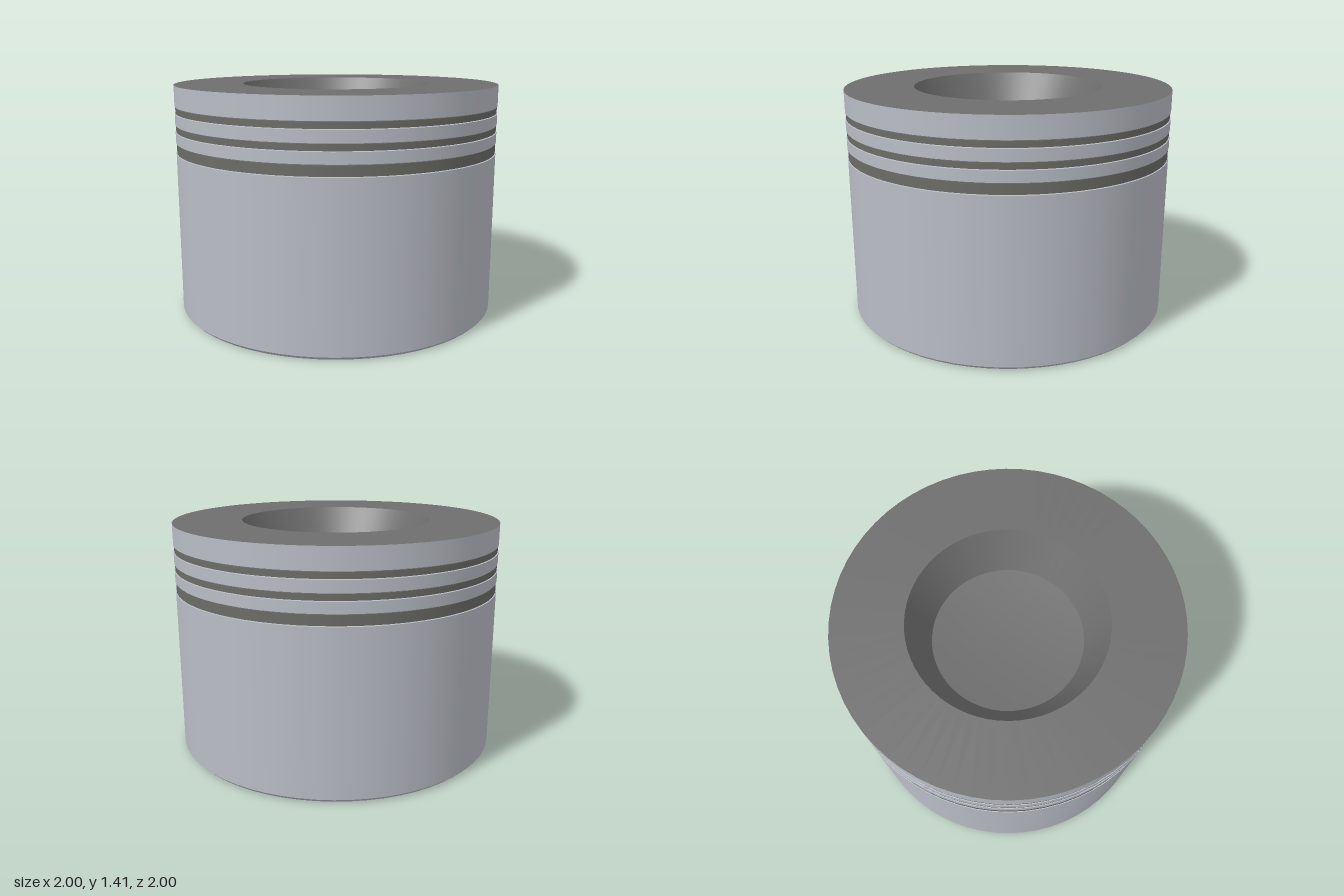
import * as THREE from 'three';

const SEGMENTS = 64;

export function createModel() {
  const piston = new THREE.Group();
  piston.name = 'piston';

  const material = (name, color) => {
    const m = new THREE.MeshStandardMaterial({ color });
    m.name = name;
    return m;
  };
  const alloy = material('brushed alloy', 0xb9bdc5);
  const dark = material('dark crown metal', 0x6e6e6e);
  const ringIron = material('ring iron', 0x6b6b67);
  const pinSteel = material('dark pin steel', 0x5c5c5c);

  const add = (name, geometry, mat, parent = piston) => {
    const mesh = new THREE.Mesh(geometry, mat);
    mesh.name = name;
    parent.add(mesh);
    return mesh;
  };
  const lathe = (points) =>
    new THREE.LatheGeometry(points.map(([r, y]) => new THREE.Vector2(r, y)), SEGMENTS);

  // Turned surface: each straight run of the profile keeps its own sharp edges
  const turned = (name, mat, profile) => {
    const part = new THREE.Group();
    part.name = name;
    for (let i = 0; i < profile.length - 1; i++) {
      add(`${name} face ${i + 1}`, lathe([profile[i], profile[i + 1]]), mat, part);
    }
    piston.add(part);
  };

  const top = 1.415, grooveRadius = 0.93, ringRadius = 0.996, bore = 0.815, ceiling = 1.0;
  // Groove bottoms and tops, lowest first
  const grooves = [[1.0, 1.068], [1.132, 1.176], [1.244, 1.288]];
  const clearance = 0.004;

  // Hollow skirt: inner ceiling, bore, bottom rim, chamfer and outer wall
  turned('skirt', alloy, [
    [0, ceiling], [bore, ceiling], [bore, 0], [0.98, 0], [1, 0.02], [1, grooves[0][0]],
  ]);

  // Grooves with the lands above them, each groove filled by a piston ring
  grooves.forEach(([low, high], i) => {
    const landTop = i < grooves.length - 1 ? grooves[i + 1][0] : top;
    turned(`grooveAndLand${i + 1}`, alloy, [
      [1, low], [grooveRadius, low], [grooveRadius, high], [1, high], [1, landTop],
    ]);
    const a = low + clearance, b = high - clearance;
    turned(`pistonRing${i + 1}`, ringIron, [
      [grooveRadius, a], [ringRadius, a], [ringRadius, b], [grooveRadius, b],
    ]);
  });

  // Crown with its tapered combustion bowl and gently dished floor
  const bowlRadius = 0.45, bowlFloor = 1.155, dish = 0.03;
  turned('crown', dark, [[1, top], [0.58, top], [bowlRadius, bowlFloor]]);
  const floorCurve = [];
  for (let i = 0; i <= 8; i++) {
    const t = 1 - i / 8;
    floorCurve.push([bowlRadius * t, bowlFloor - dish * (1 - t * t)]);
  }
  add('bowlFloor', lathe(floorCurve), dark);

  // Wrist pin and its two bosses, running across the bore
  const pinHeight = 0.405, bossInner = 0.335, bossOuter = 0.88;
  const crossCylinder = (name, radius, length, x, mat) => {
    const mesh = add(name, new THREE.CylinderGeometry(radius, radius, length, 48), mat);
    mesh.rotation.z = Math.PI / 2;
    mesh.position.set(x, pinHeight, 0);
  };
  crossCylinder('wristPin', 0.275, 1.6, 0, pinSteel);
  for (const [name, side] of [['leftPinBoss', 1], ['rightPinBoss', -1]]) {
    crossCylinder(name, 0.395, bossOuter - bossInner, side * (bossInner + bossOuter) / 2, alloy);
  }

  return piston;
}
